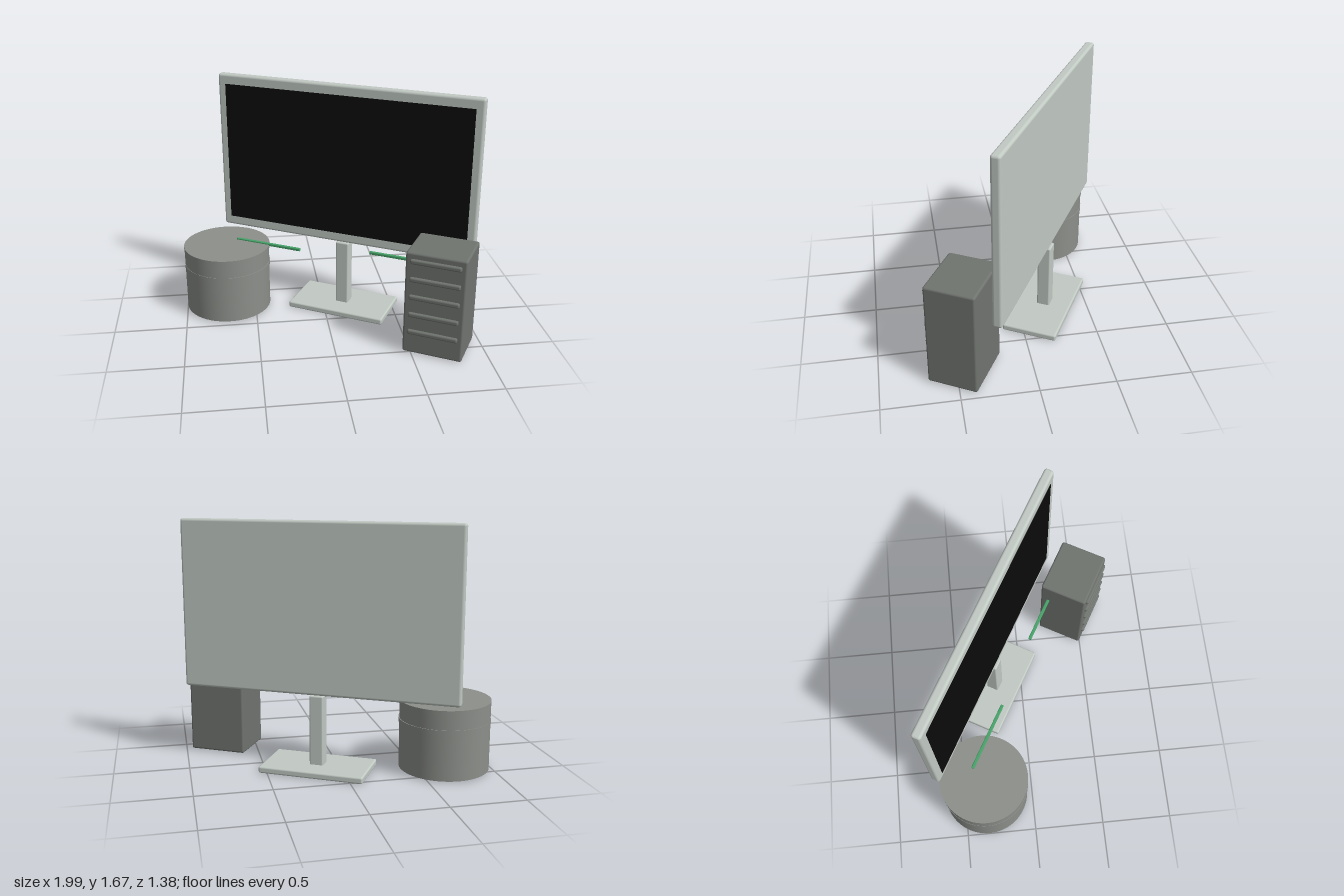
import * as THREE from 'three';
import { RoundedBoxGeometry } from 'three/addons/geometries/RoundedBoxGeometry.js';

const TURN = -0.514; // shared turn of the whole desk set

const paint = (color) => new THREE.MeshStandardMaterial({ color });
const light = paint(0xc2cac4);
const dark = paint(0x70746f);
const drumGrey = paint(0x8c8f8a);
const black = paint(0x0b0b0b);
const green = paint(0x46a268);

function add(parent, name, geometry, material, x, y, z) {
  const mesh = new THREE.Mesh(geometry, material);
  mesh.name = name;
  mesh.position.set(x, y, z);
  parent.add(mesh);
  return mesh;
}

const block = (w, h, d, r) => new RoundedBoxGeometry(w, h, d, 3, r);

function turnedGroup(parent, name, x, z) {
  const group = new THREE.Group();
  group.name = name;
  group.position.set(x, 0, z);
  group.rotation.y = TURN;
  parent.add(group);
  return group;
}

export function createModel() {
  const model = new THREE.Group();
  model.name = 'desktopComputer';

  // Monitor with its stand
  const monitor = turnedGroup(model, 'monitor', 0.15, -0.2025);
  add(monitor, 'casing', block(1.912, 1.15, 0.065, 0.018), light, 0, 1.095, 0);
  add(monitor, 'screen', new THREE.BoxGeometry(1.797, 1.01, 0.02), black, 0, 1.095, 0.025);
  add(monitor, 'standPost', block(0.095, 0.49, 0.09, 0.01), light, 0, 0.277, 0);
  add(monitor, 'standBase', block(0.72, 0.045, 0.38, 0.012), light, 0, 0.0225, 0);

  // Tower with five front bars
  const tower = turnedGroup(model, 'tower', 0.705, 0.4425);
  add(tower, 'towerCase', block(0.405, 0.735, 0.34, 0.015), dark, 0, 0.3725, 0);
  for (let i = 0; i < 5; i++) {
    add(tower, 'frontBar', block(0.338, 0.034, 0.036, 0.012), dark, 0, 0.167 + i * 0.1285, 0.17);
  }

  // Drum with two raised hoops
  const drum = new THREE.Group();
  drum.name = 'drum';
  drum.position.set(-0.693, 0, -0.34);
  model.add(drum);
  add(drum, 'drumBody', new THREE.CylinderGeometry(0.305, 0.305, 0.472, 64), drumGrey, -0.001, 0.246, 0);
  for (const y of [0.34, 0.471]) {
    add(drum, 'hoop', new THREE.CylinderGeometry(0.309, 0.309, 0.03, 64), drumGrey, 0.001, y, 0);
  }

  // Green rods: one resting on the drum, one running into the tower
  for (const [x, y, z] of [[-0.393, 0.486, -0.287], [0.508, 0.55, 0.203]]) {
    const rod = add(model, 'rod', block(0.505, 0.02, 0.022, 0.005), green, x, y, z);
    rod.rotation.y = TURN;
  }

  return model;
}
